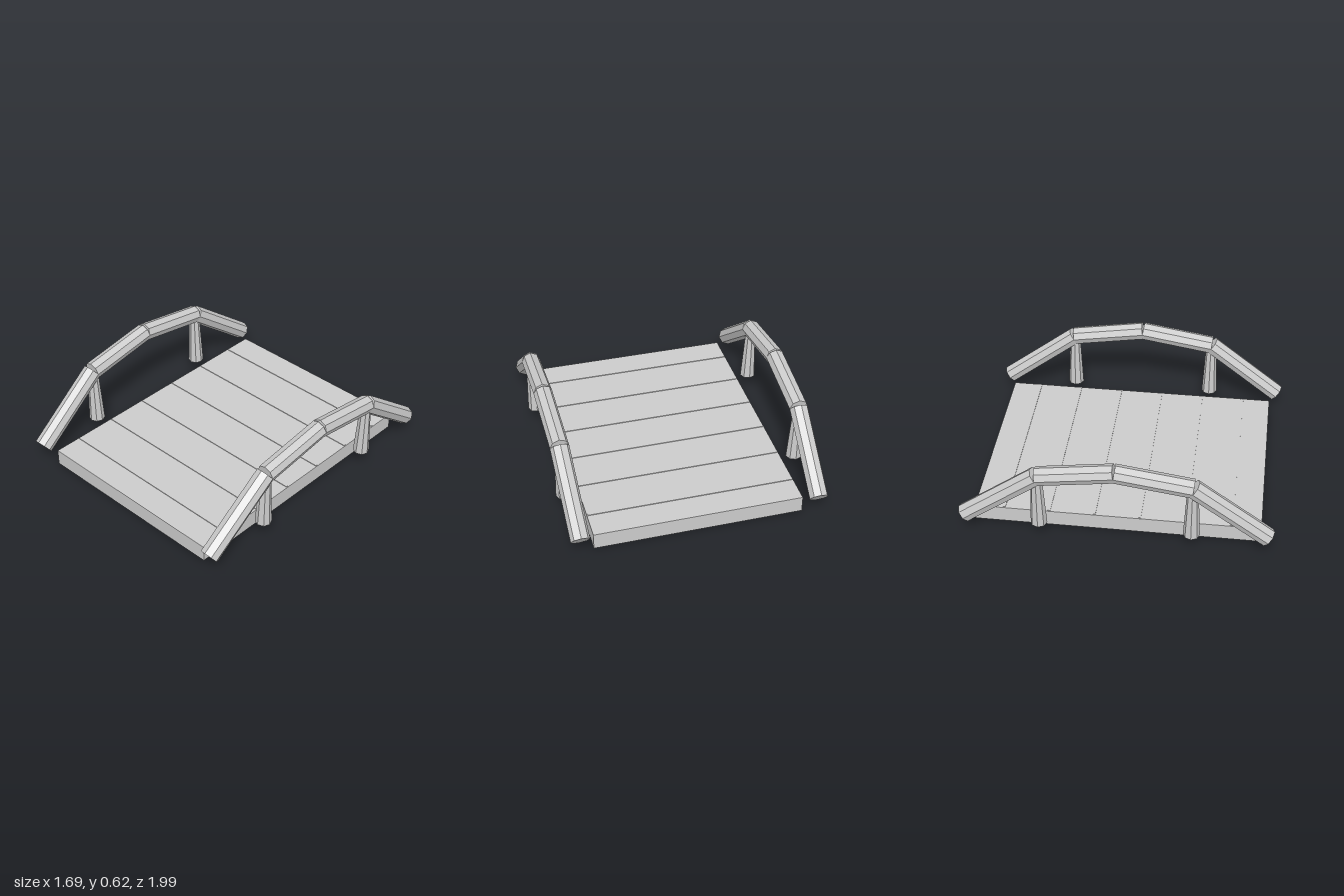
import * as THREE from 'three';

const UP = new THREE.Vector3(0, 1, 0);

// Eight-sided log running between two points
function makeLog(name, from, to, bottomRadius, topRadius, material) {
  const a = new THREE.Vector3(...from);
  const b = new THREE.Vector3(...to);
  const direction = b.clone().sub(a);
  const geometry = new THREE.CylinderGeometry(topRadius, bottomRadius, direction.length(), 8);
  const log = new THREE.Mesh(geometry, material);
  log.name = name;
  log.position.copy(a).add(b).multiplyScalar(0.5);
  log.quaternion.setFromUnitVectors(UP, direction.normalize());
  return log;
}

export function createModel() {
  const bridge = new THREE.Group();
  bridge.name = 'footbridge';
  const wood = new THREE.MeshStandardMaterial({ color: 0xcccccc, flatShading: true });
  wood.name = 'paleGrey';

  // Deck slab
  const deck = new THREE.Mesh(new THREE.BoxGeometry(1.35, 0.108, 1.83), wood);
  deck.name = 'deck';
  deck.position.y = 0.054;
  bridge.add(deck);

  // Thin strips across the deck at the plank joints
  for (let i = 0; i < 6; i++) {
    const strip = new THREE.Mesh(new THREE.BoxGeometry(1.34, 0.005, 0.016), wood);
    strip.name = 'plankJoint';
    strip.position.set(0, 0.11, (i - 2.5) * 0.29);
    bridge.add(strip);
  }

  // Arched log handrails, leaning slightly outwards, with two posts each
  for (const side of [1, -1]) {
    const rail = new THREE.Group();
    rail.name = side > 0 ? 'leftHandrail' : 'rightHandrail';
    for (const end of [1, -1]) {
      const foot = [side * 0.764, 0.123, end * 0.96];
      const bend = [side * 0.779, 0.483, end * 0.485];
      const crown = [side * 0.785, 0.558, 0];
      rail.add(
        makeLog('lowerRail', foot, bend, 0.061, 0.061, wood),
        makeLog('upperRail', bend, crown, 0.061, 0.061, wood),
        makeLog('post', [side * 0.768, 0.1, end * 0.482], [side * 0.778, 0.47, end * 0.482], 0.053, 0.035, wood)
      );
    }
    bridge.add(rail);
  }
  return bridge;
}
